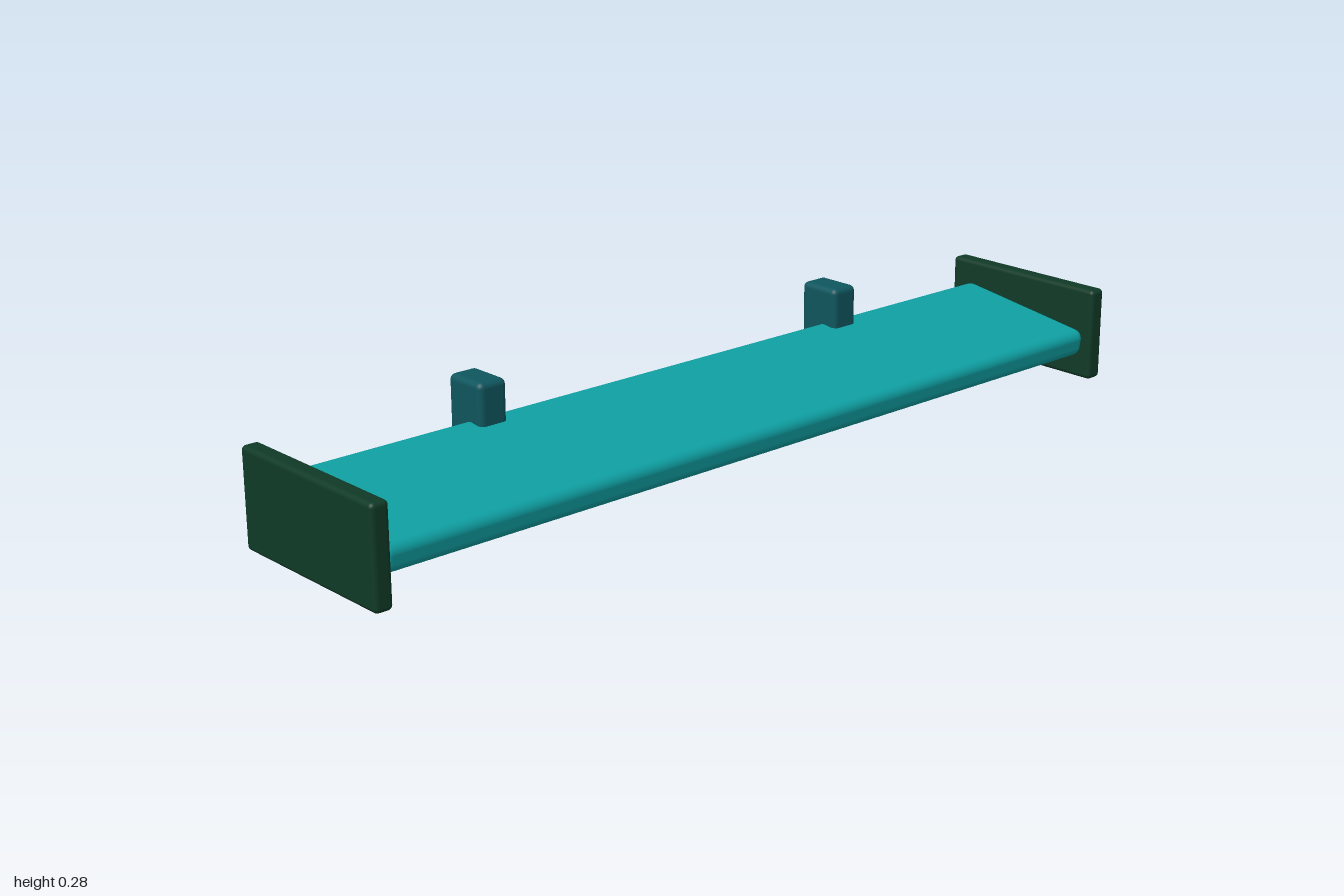
import * as THREE from 'three';
import { RoundedBoxGeometry } from 'three/addons/geometries/RoundedBoxGeometry.js';

const material = (name, color) => {
  const m = new THREE.MeshStandardMaterial({ color });
  m.name = name;
  return m;
};

export function createModel() {
  const teal = material('teal', 0x0fa0a3);
  const darkTeal = material('dark teal', 0x0f565e);
  const darkGreen = material('dark green', 0x103a27);
  const model = new THREE.Group();
  model.name = 'rearWing';

  // Rounded block given by its size, edge radius and centre
  const block = (name, mat, [w, h, d], radius, [x, y, z]) => {
    const mesh = new THREE.Mesh(new RoundedBoxGeometry(w, h, d, 4, radius), mat);
    mesh.name = name;
    mesh.position.set(x, y, z);
    model.add(mesh);
    return mesh;
  };

  // Wing blade, pitched so that its rear edge sits higher
  const blade = block('wingBlade', teal, [1.93, 0.062, 0.353], 0.022, [0, 0.143, 0.014]);
  blade.rotation.x = THREE.MathUtils.degToRad(8);

  // Mirrored end plates and rear supports
  for (const [side, s] of [['left', 1], ['right', -1]]) {
    block(`${side}EndPlate`, darkGreen, [0.04, 0.209, 0.418], 0.01, [s * 0.98, 0.141, 0.001]);
    block(`${side}Support`, darkTeal, [0.068, 0.28, 0.103], 0.013, [s * 0.489, 0.14, -0.157]);
  }
  return model;
}
